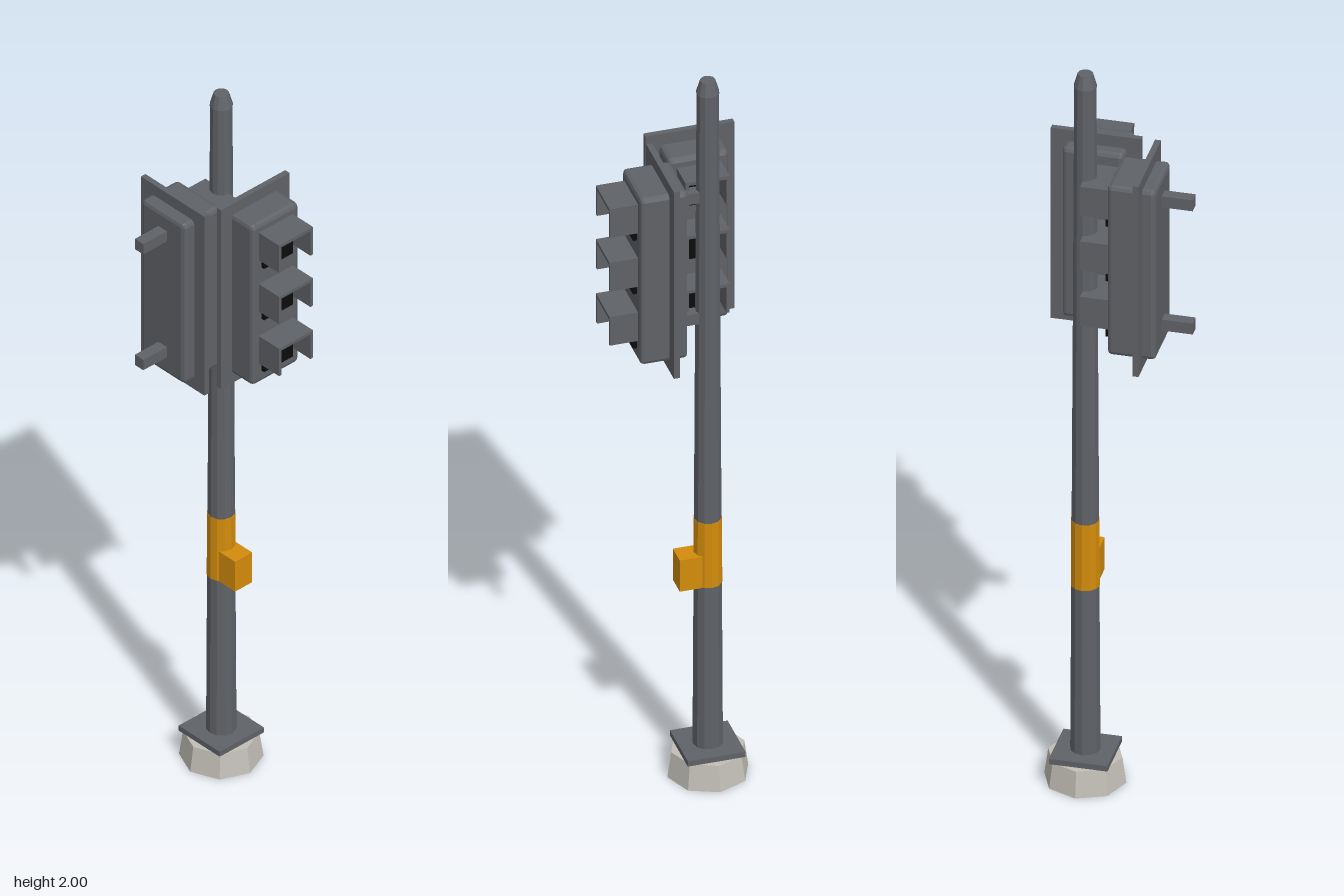
import * as THREE from 'three';
import { RoundedBoxGeometry } from 'three/addons/geometries/RoundedBoxGeometry.js';

const material = (name, color) => {
  const m = new THREE.MeshStandardMaterial({ color, flatShading: true });
  m.name = name;
  return m;
};

export function createModel() {
  const metal = material('dark grey metal', 0x5f6267);
  const black = material('black lens', 0x0c0c0d);
  const amber = material('amber paint', 0xd38c0c);
  const concrete = material('pale concrete', 0xc2bfb6);

  const add = (parent, name, geometry, mat, x, y, z) => {
    const mesh = new THREE.Mesh(geometry, mat);
    mesh.name = name;
    mesh.position.set(x, y, z);
    parent.add(mesh);
    return mesh;
  };
  const box = (parent, name, mat, w, h, d, x, y, z) =>
    add(parent, name, new THREE.BoxGeometry(w, h, d), mat, x, y, z);

  // One signal head: its front face is at z = 0, facing +z, and it is centred on x = 0
  function signalHead(name) {
    const head = new THREE.Group();
    head.name = name;
    add(head, 'housing', new RoundedBoxGeometry(0.155, 0.48, 0.122, 1, 0.011), metal, 0, 1.495, -0.061);
    box(head, 'backPlate', metal, 0.227, 0.54, 0.015, 0, 1.497, -0.081);

    for (const y of [1.65, 1.495, 1.338]) {
      box(head, 'lens', black, 0.096, 0.096, 0.012, 0, y, 0.004);
      // Hood: a roof with two side walls, open below
      const hood = new THREE.Group();
      hood.name = 'hood';
      hood.position.y = y;
      box(hood, 'hoodRoof', metal, 0.113, 0.009, 0.075, 0, 0.056, 0.035);
      for (const side of [-1, 1])
        box(hood, 'hoodSide', metal, 0.008, 0.074, 0.074, side * 0.052, 0.0145, 0.035);
      head.add(hood);
    }

    // Mounting arms behind the housing
    for (const y of [1.672, 1.322])
      box(head, 'mountingArm', metal, 0.03, 0.031, 0.082, 0, y, -0.159);
    return head;
  }

  const model = new THREE.Group();
  model.name = 'trafficSignal';

  // Pole with its footing, standing off centre
  const post = new THREE.Group();
  post.name = 'post';
  post.position.set(0.078, 0, -0.078);
  model.add(post);
  add(post, 'footing', new THREE.CylinderGeometry(0.093, 0.103, 0.07, 8), concrete, 0, 0.035, 0);
  box(post, 'basePlate', metal, 0.147, 0.015, 0.147, 0, 0.0775, 0);
  add(post, 'pole', new THREE.CylinderGeometry(0.028, 0.038, 1.88, 12), metal, 0, 1.025, 0);
  add(post, 'poleCap', new THREE.CylinderGeometry(0.019, 0.029, 0.035, 12), metal, 0, 1.9825, 0);

  // Painted band and push-button box
  add(post, 'band', new THREE.CylinderGeometry(0.0355, 0.0365, 0.185, 12), amber, 0, 0.643, 0);
  box(post, 'buttonBox', amber, 0.057, 0.09, 0.058, 0, 0.595, 0.051);

  // Two heads at right angles
  const front = signalHead('frontSignalHead');
  front.position.set(0.078, 0, 0.117);
  const side = signalHead('sideSignalHead');
  side.position.set(0.005, 0, -0.078);
  side.rotation.y = Math.PI / 2;
  model.add(front, side);
  return model;
}
